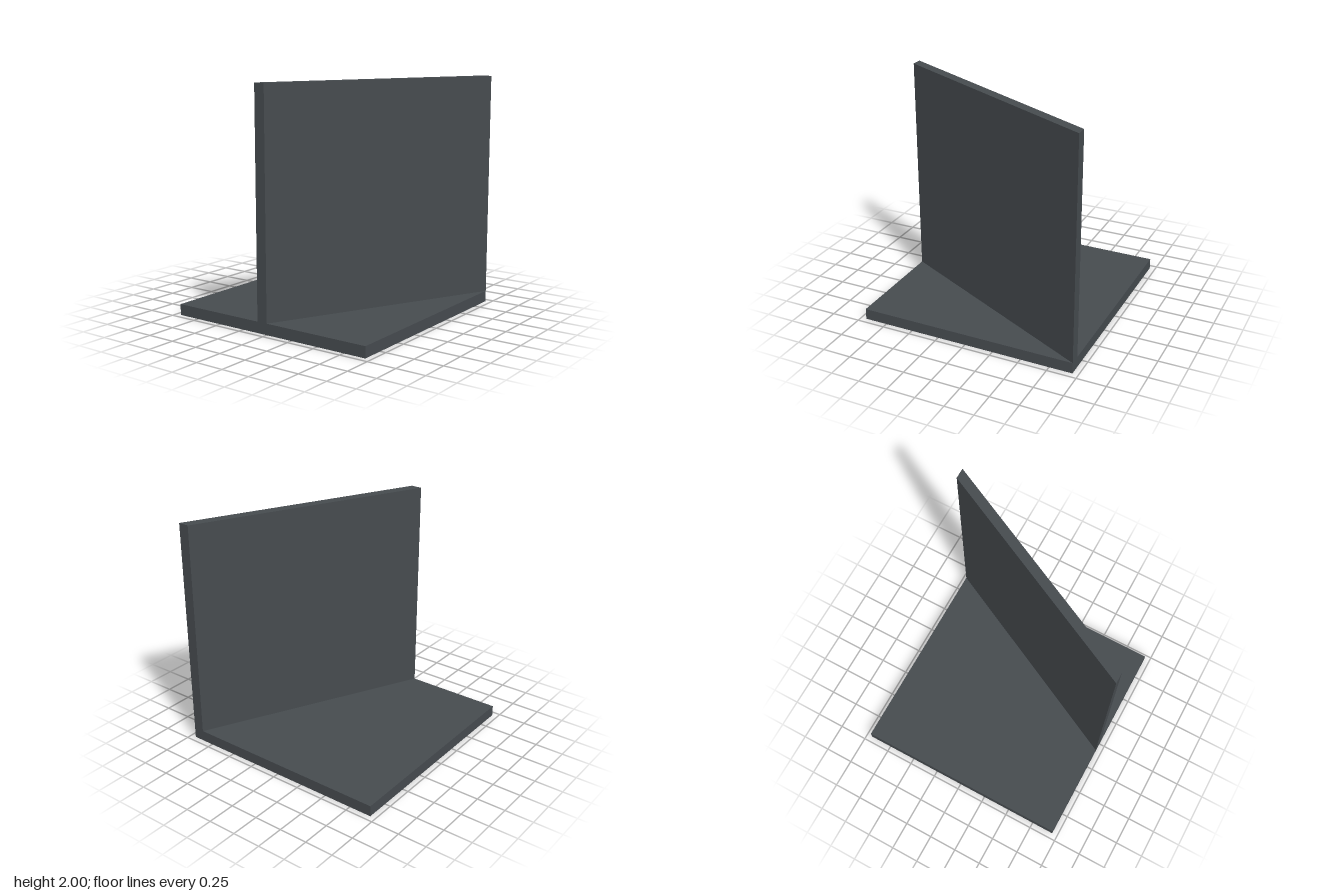
import * as THREE from 'three';

export function createModel() {
  const group = new THREE.Group();
  const darkGrey = new THREE.MeshStandardMaterial({ color: 0x464b4f });
  const half = 0.95, thick = 0.095, height = 2;

  // Square floor slab
  const base = new THREE.Mesh(new THREE.BoxGeometry(2 * half, thick, 2 * half), darkGrey);
  base.name = 'base';
  base.position.y = thick / 2;
  group.add(base);

  // Slanted upright wall: a parallelogram plan (x, -z) running from mid left edge to front corner
  const plan = new THREE.Shape([
    new THREE.Vector2(-half, 0),
    new THREE.Vector2(half, -half),
    new THREE.Vector2(half, -half + thick),
    new THREE.Vector2(-half, thick),
  ]);
  const wallGeometry = new THREE.ExtrudeGeometry(plan, { depth: height - thick, bevelEnabled: false });
  wallGeometry.rotateX(-Math.PI / 2);
  const wall = new THREE.Mesh(wallGeometry, darkGrey);
  wall.name = 'wall';
  wall.position.y = thick;
  group.add(wall);

  return group;
}
